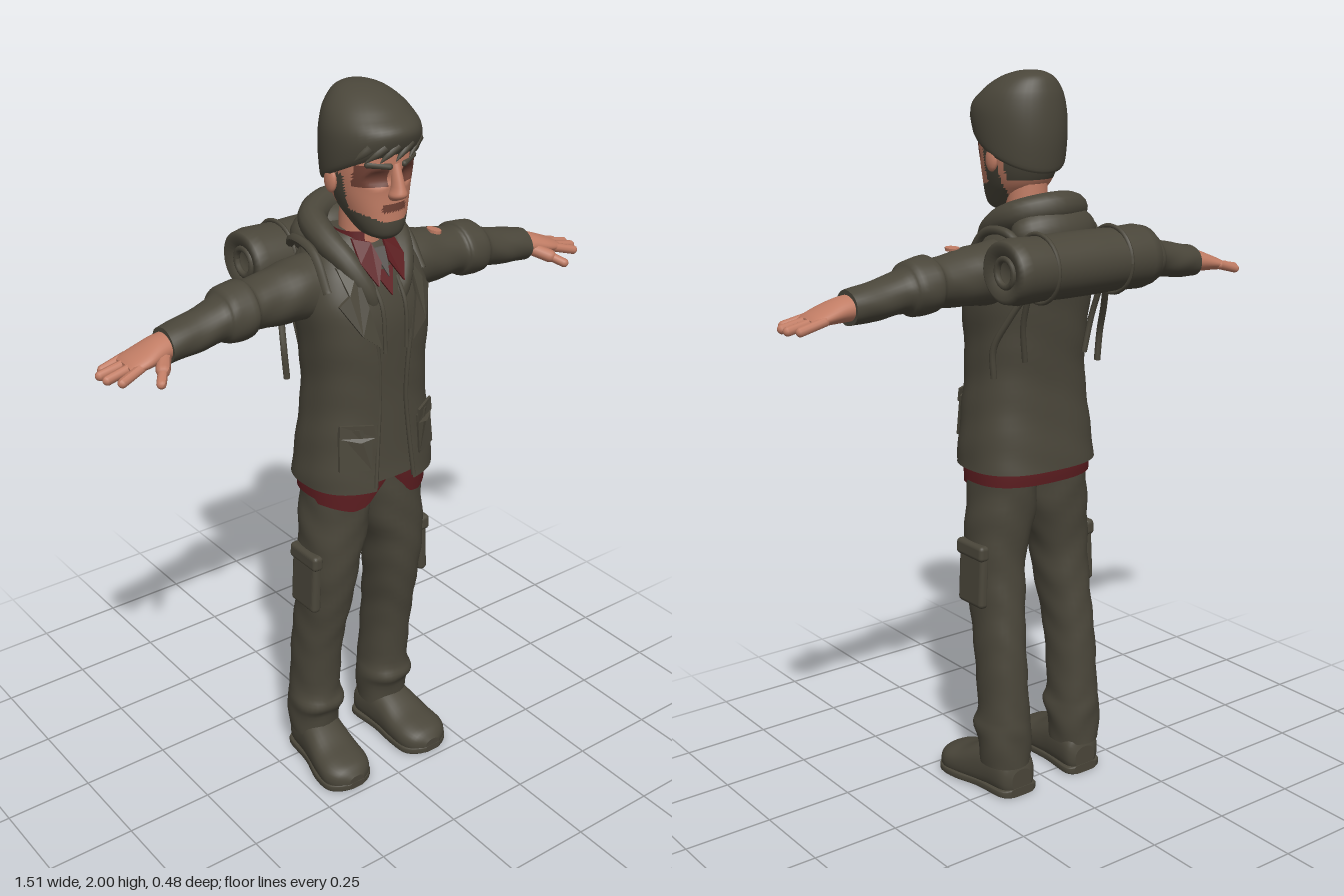
import * as THREE from 'three';
import { RoundedBoxGeometry } from 'three/addons/geometries/RoundedBoxGeometry.js';

const V = (x, y, z) => new THREE.Vector3(x, y, z);
const flat = (name, color) => {
  const m = new THREE.MeshStandardMaterial({ color, side: THREE.DoubleSide });
  m.name = name;
  return m;
};
const spow = (v, e) => Math.sign(v) * Math.abs(v) ** e;

// Smooth body through rows [t, centreU, centreV, radiusU, radiusV, gap] along an axis
// (y: u=z v=x, x: u=y v=z, z: u=x v=y). An open body leaves out `gap` radians each side of u.
function loft(rows, { axis = 'y', seg = 32, sub = 4, p = 2, fold = 0, open = false, warp } = {}) {
  const put = { y: (t, u, v) => V(v, t, u), x: (t, u, v) => V(t, u, v), z: (t, u, v) => V(u, v, t) }[axis];
  const at = s => {
    const i = Math.min(Math.floor(s), rows.length - 2), f = s - i;
    const r = k => rows[Math.max(0, Math.min(rows.length - 1, k))];
    return r(i).map((b, k) => {
      const a = r(i - 1)[k], c = r(i + 1)[k], d = r(i + 2)[k];
      return b + 0.5 * f * (c - a + f * (2 * a - 5 * b + 4 * c - d + f * (3 * (b - c) + d - a)));
    });
  };
  const pos = [], idx = [], n = (rows.length - 1) * sub, w = open ? seg + 1 : seg;
  const add = q => { if (warp) warp(q); pos.push(q.x, q.y, q.z); };
  const ring = s => {
    const [t, u, v, ru, rv, gap = 0] = at(s);
    for (let j = 0; j < w; j++) {
      const a = gap + (2 * Math.PI - 2 * gap) * j / seg;
      const k = 1 + fold * Math.sin(t * 55 + 2.5 * Math.sin(a * 2) + a);
      add(put(t, u + ru * k * spow(Math.cos(a), 2 / p), v + rv * k * spow(Math.sin(a), 2 / p)));
    }
  };
  for (let i = 0; i <= n; i++) ring(i / sub);
  for (let i = 0; i < n; i++) for (let j = 0; j < seg; j++) {
    const a = i * w + j, b = i * w + (j + 1) % w;
    idx.push(a, b, b + w, a, b + w, a + w);
  }
  if (!open) for (const end of [0, 1]) {
    const base = pos.length / 3, r = rows[end ? rows.length - 1 : 0];
    ring(end * (rows.length - 1));
    add(put(r[0], r[1], r[2]));
    for (let j = 0; j < seg; j++) {
      const a = base + j, b = base + (j + 1) % seg;
      idx.push(...(end ? [a, b, base + seg] : [b, a, base + seg]));
    }
  }
  const g = new THREE.BufferGeometry();
  g.setAttribute('position', new THREE.Float32BufferAttribute(pos, 3));
  g.setIndex(idx);
  g.computeVertexNormals();
  return g;
}

// Sort faces into material groups by the position of their centre
function paint(g, count, pick) {
  const P = g.attributes.position, I = g.index.array, bins = Array.from({ length: count }, () => []);
  for (let i = 0; i < I.length; i += 3) {
    const c = V(0, 0, 0);
    for (let k = 0; k < 3; k++) c.add(V().fromBufferAttribute(P, I[i + k]));
    bins[pick(c.divideScalar(3))].push(I[i], I[i + 1], I[i + 2]);
  }
  g.setIndex(bins.flat());
  let start = 0;
  bins.forEach((b, k) => { g.addGroup(start, b.length, k); start += b.length; });
  return g;
}

// Tube through points with a radius rule
function cord(points, radius, seg = 24, sides = 8) {
  const path = new THREE.CatmullRomCurve3(points), g = new THREE.TubeGeometry(path, seg, 1, sides), P = g.attributes.position;
  for (let i = 0; i < P.count; i++) {
    const s = Math.floor(i / (sides + 1)) / seg, c = path.getPointAt(s);
    const q = V().fromBufferAttribute(P, i).sub(c).multiplyScalar(typeof radius === 'number' ? radius : radius(s)).add(c);
    P.setXYZ(i, q.x, q.y, q.z);
  }
  return g;
}

function capsule(a, b, r) {
  const d = b.clone().sub(a), g = new THREE.CapsuleGeometry(r, d.length(), 5, 10);
  g.applyQuaternion(new THREE.Quaternion().setFromUnitVectors(V(0, 1, 0), d.normalize()));
  return g.translate((a.x + b.x) / 2, (a.y + b.y) / 2, (a.z + b.z) / 2);
}

function mirror(g) {
  const m = g.clone().scale(-1, 1, 1), I = m.index ? m.index.array : null;
  if (I) for (let i = 0; i < I.length; i += 3) [I[i], I[i + 1]] = [I[i + 1], I[i]];
  m.computeVertexNormals();
  return m;
}

// Jacket body: y, z, x, half depth, half width, front gap
const BODY = [
  [.95, .065, 0, .152, .193, .24], [1.0, .065, 0, .146, .19, .22], [1.1, .068, 0, .138, .178, .18], [1.2, .068, 0, .134, .166, .16],
  [1.3, .065, 0, .139, .166, .18], [1.4, .06, 0, .143, .175, .24], [1.48, .045, 0, .138, .178, .42],
  [1.54, .03, 0, .125, .16, .65], [1.59, .02, 0, .1, .115, .9], [1.615, .02, 0, .08, .075, 1]];
function frontZ(x, y) {
  let i = 0;
  while (i < BODY.length - 2 && BODY[i + 1][0] < y) i++;
  const f = Math.min(1, (y - BODY[i][0]) / (BODY[i + 1][0] - BODY[i][0]));
  const [, z, , d, w] = BODY[i].map((v, k) => v + (BODY[i + 1][k] - v) * f);
  return z + d * Math.max(0, 1 - Math.abs(x / w) ** 2.5) ** 0.4;
}
// Thin cloth piece laid on the chest
function drape(points, lift, depth = .008) {
  const g = new THREE.ExtrudeGeometry(new THREE.Shape(points.map(q => new THREE.Vector2(...q))), { depth, bevelEnabled: false });
  const P = g.attributes.position;
  for (let i = 0; i < P.count; i++) P.setZ(i, P.getZ(i) + lift + frontZ(P.getX(i), P.getY(i)));
  g.computeVertexNormals();
  g.setIndex([...Array(P.count).keys()]);
  return g;
}

export function createModel() {
  const root = new THREE.Group();
  const olive = flat('olive cloth', 0x4a463a), skin = flat('skin', 0xc07c64), red = flat('red shirt', 0x5c1d20);
  const shade = flat('face shade', 0x6e4034), grey = flat('grey undershirt', 0x5a5552);
  const add = (name, g, m) => {
    const o = new THREE.Mesh(g, m);
    o.name = name;
    root.add(o);
    return o;
  };
  const both = (name, g, m) => { add('left ' + name, g, m); add('right ' + name, mirror(g), m); };

  // Trousers, cargo pockets and shoes
  both('trouser leg', loft([
    [.09, 0, .125, .072, .068], [.16, .003, .125, .076, .074], [.2, .012, .125, .086, .076], [.25, .008, .124, .078, .067],
    [.4, .02, .124, .081, .065], [.5, .036, .12, .086, .066], [.6, .052, .114, .09, .072], [.7, .062, .11, .093, .078],
    [.8, .06, .094, .1, .09], [.9, .058, .086, .106, .086], [1.0, .06, .086, .11, .084]], { fold: .022, p: 2.2 }), olive);
  both('cargo pocket', new RoundedBoxGeometry(.03, .17, .11, 3, .013).rotateZ(.05).translate(.184, .645, .06), olive);
  both('pocket flap', new RoundedBoxGeometry(.034, .045, .12, 3, .012).rotateZ(.05).translate(.185, .72, .062), olive);
  both('shoe', loft([
    [-.066, .115, .045, .035, .035], [-.045, .118, .06, .058, .065], [.02, .124, .068, .064, .075], [.07, .13, .06, .068, .068],
    [.13, .136, .045, .075, .052], [.18, .14, .038, .076, .045], [.215, .14, .034, .058, .036], [.235, .14, .03, .025, .018]],
  { axis: 'z', p: 2.4, warp: q => { q.y = Math.max(q.y, .012); } }), olive);
  both('sole', loft([
    [-.068, .115, .013, .04, .013], [-.045, .118, .013, .062, .013], [.05, .127, .013, .064, .013], [.13, .137, .013, .078, .013],
    [.19, .14, .013, .077, .013], [.22, .14, .016, .055, .013], [.236, .14, .018, .025, .01]], { axis: 'z', p: 5 }), olive);

  // Shirt tail below the jacket
  add('shirt tail', loft([[.9, .06, 0, .13, .18, 0], [.94, .06, 0, .132, .18, 0], [.99, .062, 0, .13, .178, 0]], {
    open: true, seg: 72, p: 2.5, warp: q => {
      const low = Math.max(0, (.99 - q.y) / .09), x = Math.abs(q.x);
      q.y += low * (q.z > .1 ? .075 * Math.max(0, 1 - x / .07) - .016 * Math.max(0, 1 - Math.abs(x - .11) / .06) : .012);
    } }), red);

  // Hoodie body and open jacket over it
  add('hoodie body', loft(BODY.map(([y, z, x, d, w]) => [y + .02, z, x, d - .013, w - .013]), { p: 2.5 }), olive);
  add('jacket', loft(BODY, { open: true, seg: 56, p: 2.5, fold: .008 }), olive);
  both('jacket front edge', cord([.96, 1.1, 1.2, 1.3, 1.38].map((y, i) => V([.063, .05, .043, .046, .055][i], y, frontZ(.05, y) - .003)), .006), olive);
  both('lapel', drape([[.05, 1.36], [.075, 1.47], [.085, 1.55], [.12, 1.56], [.115, 1.5], [.142, 1.475], [.1, 1.4]], .006), olive);
  both('hip pocket', drape([[.08, 1.02], [.155, 1.02], [.15, 1.13], [.11, 1.14], [.075, 1.13]], .004), olive);
  both('hip pocket flap', drape([[.07, 1.115], [.11, 1.105], [.153, 1.115], [.15, 1.15], [.075, 1.15]], .011), olive);
  both('drawstring', cord([V(.038, 1.52, .158), V(.036, 1.46, frontZ(.03, 1.46) + .008), V(.034, 1.34, frontZ(.03, 1.34) + .004)], .0055), olive);

  // Shirt front and collar
  add('shirt front', drape([[-.06, 1.6], [0, 1.485], [.06, 1.6]], .003), red);
  add('undershirt', drape([[-.022, 1.595], [0, 1.53], [.022, 1.595]], .012, .005), grey);
  add('shirt collar', loft([[1.56, .045, 0, .08, .08, .45], [1.6, .045, 0, .072, .074, .4], [1.635, .045, 0, .066, .068, .4]], { open: true }), red);
  both('collar flap', drape([[.02, 1.61], [.012, 1.565], [.04, 1.515], [.068, 1.57], [.06, 1.62]], .014), red);

  // Hood lying round the neck
  const half = [[.03, 1.43, .15], [.052, 1.49, .157], [.085, 1.565, .115], [.103, 1.615, .04], [.085, 1.645, -.035]];
  add('hood rim', cord([...half.map(q => V(...q)), V(0, 1.66, -.075), ...half.slice().reverse().map(([x, y, z]) => V(-x, y, z))],
    s => .02 + .02 * Math.sin(Math.PI * s), 48, 14), olive);
  add('hood back', new THREE.SphereGeometry(1, 28, 18).scale(.13, .075, .07).rotateX(.45).translate(0, 1.595, -.06), olive);

  // Sleeves with a rolled band above the elbow
  both('sleeve', loft([
    [.09, 1.495, .02, .085, .085], [.17, 1.49, .02, .081, .085], [.25, 1.486, .02, .073, .077], [.325, 1.481, .022, .064, .07],
    [.345, 1.481, .022, .074, .083], [.4, 1.476, .025, .071, .078], [.425, 1.47, .027, .055, .062], [.5, 1.456, .03, .05, .057],
    [.575, 1.446, .033, .045, .052]], { axis: 'x', fold: .022 }), olive);
  add('sleeve patch', new THREE.CylinderGeometry(.022, .022, .008, 10).scale(.7, 1, 1.15).rotateZ(-.09).translate(.25, 1.559, .045), skin);

  // Hands
  both('palm', loft([
    [.56, 1.447, .033, .034, .043], [.6, 1.443, .036, .031, .047], [.64, 1.435, .039, .024, .052], [.675, 1.427, .038, .017, .05],
    [.69, 1.424, .038, .01, .042]], { axis: 'x' }), skin);
  [[-.003, .725, 0], [.026, .745, .026], [.053, .743, .058], [.077, .722, .092]].forEach(([z0, x, z1], i) =>
    both('finger ' + (i + 1), capsule(V(.66, 1.428, z0), V(x, 1.411, z1), .0125), skin));
  both('thumb base', capsule(V(.59, 1.435, .06), V(.62, 1.42, .105), .018), skin);
  both('thumb', capsule(V(.62, 1.42, .105), V(.645, 1.404, .138), .0125), skin);

  // Neck and head with beard and shaded eyes
  add('neck', new THREE.CylinderGeometry(.054, .06, .18, 24).translate(0, 1.62, .055), skin);
  const head = loft([
    [1.632, .145, 0, .03, .026], [1.645, .135, 0, .055, .05], [1.67, .122, 0, .074, .066], [1.71, .1, 0, .095, .083],
    [1.76, .088, 0, .106, .097], [1.82, .086, 0, .114, .104], [1.9, .085, 0, .113, .103]], {
    seg: 72, sub: 8, p: 2.2, warp: q => {
      const d = Math.hypot((Math.abs(q.x) - .042) / .035, (q.y - 1.795) / .025);
      if (q.z > .1 && d < 1) q.z -= .014 * (1 - d * d);
    } });
  add('head', paint(head, 3, c => {
    const x = Math.abs(c.x), jaw = 1.685 + .5 * Math.max(0, x - .035);
    if (c.z > .06 && (c.y < jaw || (c.z < .115 && c.y < 1.8))) return 1;
    if (c.z > .1 && ((x > .018 && x < .092 && c.y > 1.775 && c.y < 1.83) || (x < .035 && c.y > 1.708 && c.y < 1.726))) return 2;
    return c.z < .04 && c.y > 1.72 ? 1 : 0;
  }), [skin, olive, shade]);
  add('nose', loft([[1.738, .192, 0, .014, .014], [1.752, .203, 0, .027, .023], [1.775, .203, 0, .022, .016], [1.83, .19, 0, .014, .012]]), skin);
  both('eyebrow', capsule(V(.022, 1.826, .199), V(.07, 1.832, .173), .008), olive);
  both('ear', new THREE.SphereGeometry(1, 14, 10).scale(.012, .032, .022).translate(.104, 1.775, .07), skin);

  // Knitted hat, tilted up at the front, with a swept fringe
  add('hat', loft([
    [1.8, .088, 0, .122, .113], [1.815, .09, 0, .13, .119], [1.865, .09, 0, .138, .122], [1.91, .085, 0, .131, .118],
    [1.95, .072, 0, .108, .1], [1.982, .052, 0, .073, .068], [1.997, .04, 0, .035, .033], [2.0, .038, 0, .004, .004]],
  { seg: 40, warp: q => { q.y += .48 * (q.z - .09) * Math.max(0, Math.min(1, (1.94 - q.y) / .13)); } }), olive);
  [[.07, .035], [.03, -.01], [-.01, -.05], [-.04, -.08], [-.07, -.1]].forEach(([x0, x1], i) => {
    const zAt = x => .086 + .122 * Math.sqrt(1 - (x / .118) ** 2);
    add('fringe lock ' + (i + 1), cord([V(x0, 1.88, zAt(x0)), V((x0 + x1) / 2, 1.862, zAt((x0 + x1) / 2) + .003), V(x1, 1.838, zAt(x1))],
      s => .001 + .017 * (1 - s), 10), olive);
  });

  // Bedroll with hollow ends, bands and hanging straps
  const side = [[0, .205], [.03, .207], [.045, .225], [.07, .236], [.083, .228], [.089, .2], [.086, .12], [.088, .05]];
  const profile = [...side.map(([r, h]) => [r, -h]), ...side.slice().reverse()].map(q => new THREE.Vector2(...q));
  add('bedroll', new THREE.LatheGeometry(profile, 32).scale(.96, 1, 1.05).rotateZ(Math.PI / 2).translate(0, 1.52, -.147), olive);
  both('bedroll coil', new THREE.TorusGeometry(.036, .009, 8, 20).rotateY(Math.PI / 2).translate(.222, 1.52, -.147), olive);
  both('bedroll band', new THREE.TorusGeometry(.088, .006, 8, 32).rotateY(Math.PI / 2).translate(.12, 1.52, -.147), olive);
  both('shoulder strap', cord([V(.12, 1.56, -.09), V(.14, 1.6, -.04), V(.145, 1.59, .05), V(.15, 1.5, .12)], .012), olive);
  both('hanging strap', cord([V(.13, 1.46, -.12), V(.16, 1.38, -.075), V(.18, 1.3, -.035), V(.176, 1.22, -.03)], .009), olive);
  both('back strap', cord([V(.12, 1.45, -.11), V(.115, 1.36, -.078), V(.1, 1.26, -.065)], .008), olive);
  return root;
}
